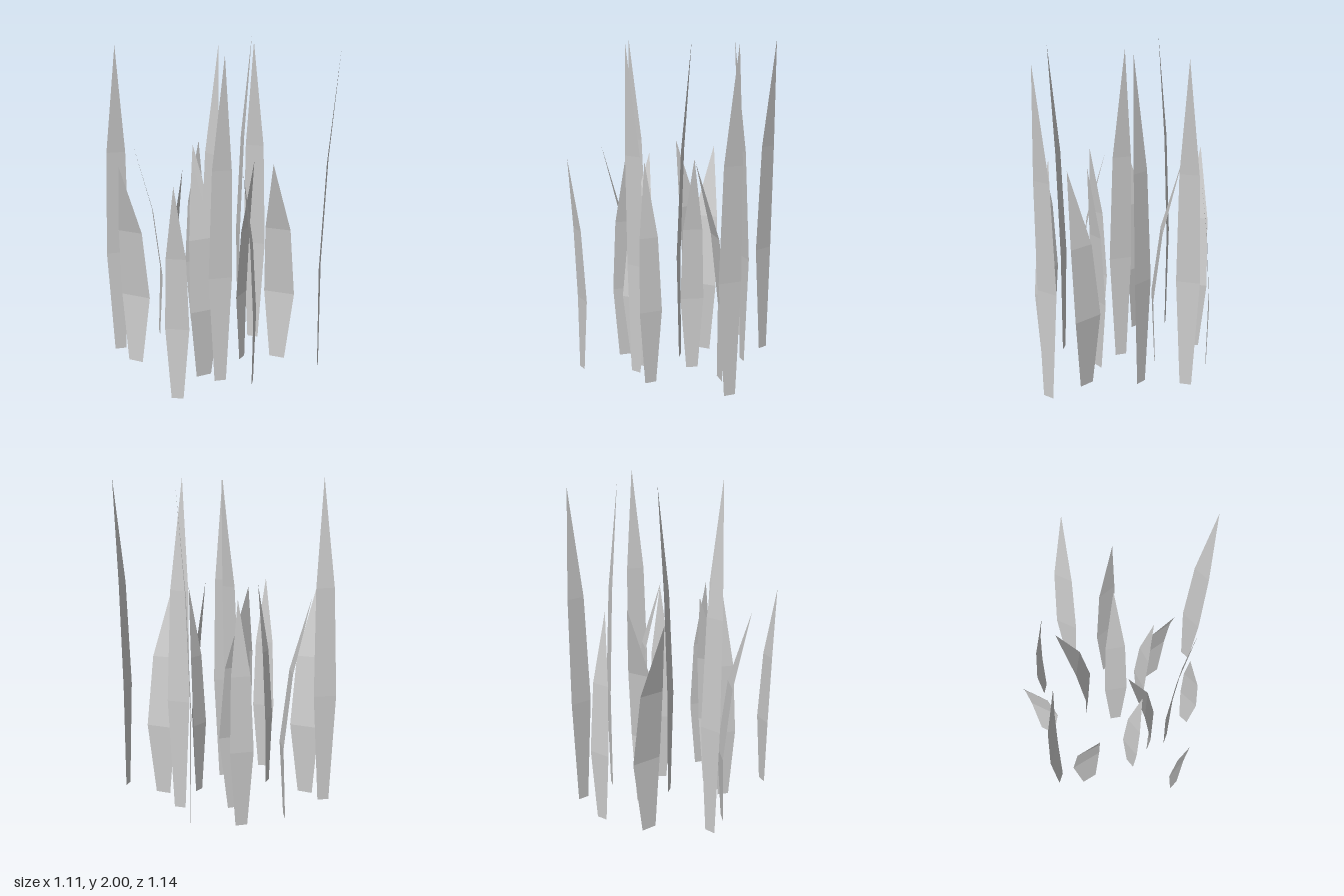
import * as THREE from 'three';

const material = new THREE.MeshStandardMaterial({
  color: 0xcccccc, flatShading: true, side: THREE.DoubleSide,
});

// A blade: base, two cross rows and a pointed tip. It bows back a little
// at the first row, then leans towards local +z.
function bladeGeometry({ base, height, width, lean }) {
  const widths = [0.5, 1, 0.82];
  const offsets = [0.11, 0, 0.31, 1];
  const points = [];
  for (let i = 0; i < 3; i++) {
    const y = THREE.MathUtils.lerp(base, height, i / 3);
    const half = (width * widths[i]) / 2;
    points.push(-half, y, lean * offsets[i], half, y, lean * offsets[i]);
  }
  points.push(0, height, lean * offsets[3]);

  const index = [];
  for (let a = 0; a < 4; a += 2) index.push(a, a + 1, a + 3, a, a + 3, a + 2);
  index.push(4, 5, 6);

  const geometry = new THREE.BufferGeometry();
  geometry.setAttribute('position', new THREE.Float32BufferAttribute(points, 3));
  geometry.setIndex(index);
  geometry.computeVertexNormals();
  return geometry;
}

// Each kind of blade with its placements: x, z and lean heading in degrees
const kinds = [
  {
    name: 'broadBlade', base: 0, height: 1.32, width: 0.198, lean: 0.172,
    places: [
      [-0.408, -0.19, -58.5], [0.102, -0.184, 172.5], [-0.173, 0.248, 173],
      [0.382, 0.258, -55], [-0.053, -0.474, -116],
    ],
  },
  {
    name: 'tallBlade', base: 0.01, height: 2, width: 0.143, lean: 0.079,
    places: [
      [-0.423, -0.388, -18], [-0.133, 0.35, -20], [0.012, 0.005, 100],
      [0.418, -0.065, -51], [0.47, -0.325, 65], [0.498, 0.508, 45],
    ],
  },
  {
    name: 'shortBlade', base: 0.01, height: 1.32, width: 0.142, lean: 0.078,
    places: [
      [0.242, -0.515, -12.5], [0.155, 0.163, 28], [-0.322, 0.098, 39.5],
      [-0.468, 0.403, -42], [0.017, 0.495, -133.5],
    ],
  },
];

export function createModel() {
  const grass = new THREE.Group();
  grass.name = 'grassPatch';
  for (const kind of kinds) {
    const geometry = bladeGeometry(kind);
    kind.places.forEach(([x, z, heading], i) => {
      const blade = new THREE.Mesh(geometry, material);
      blade.name = `${kind.name}${i + 1}`;
      blade.position.set(x, 0, z);
      blade.rotation.y = THREE.MathUtils.degToRad(heading);
      grass.add(blade);
    });
  }
  return grass;
}
